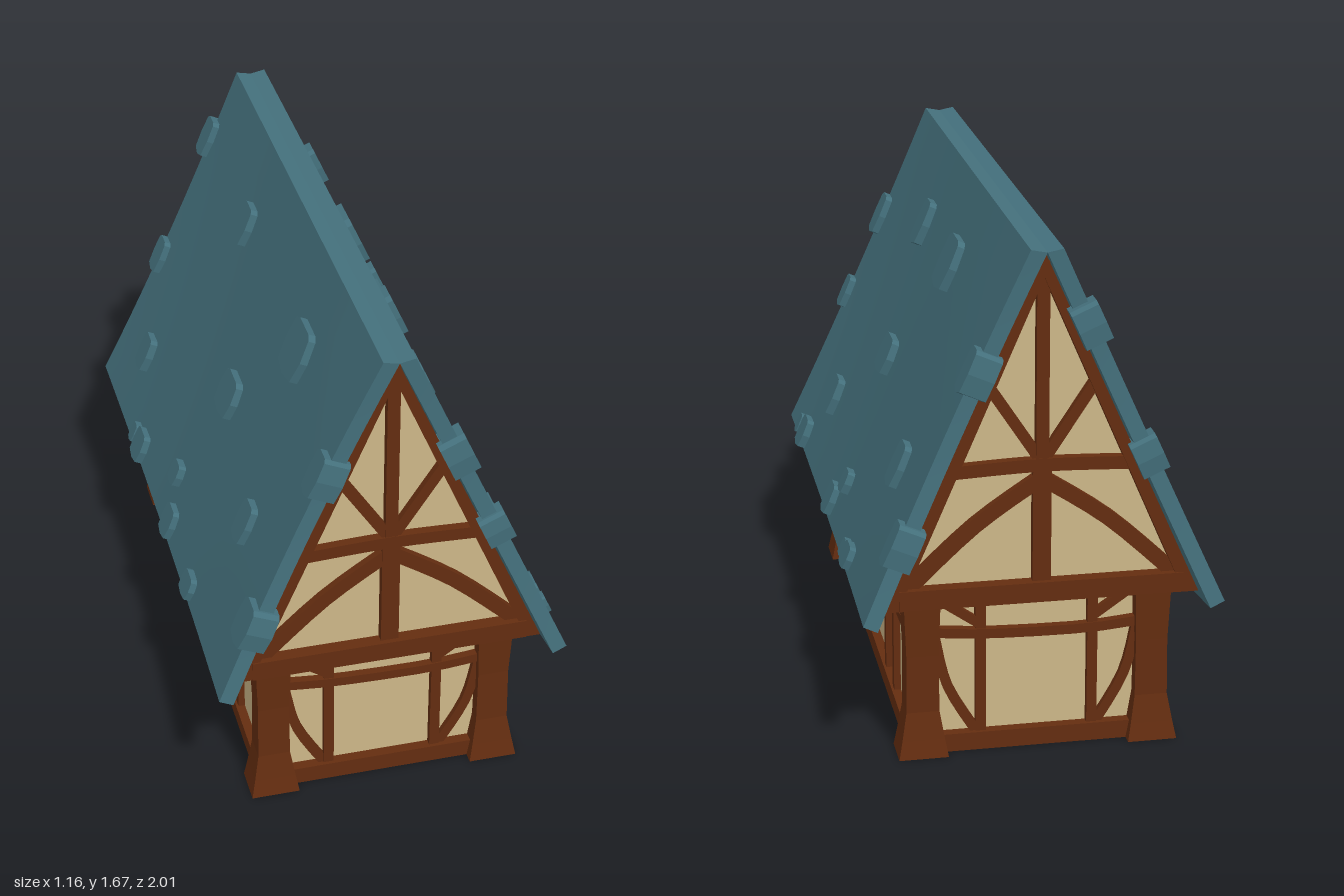
import * as THREE from 'three';

const material = (name, color) => Object.assign(new THREE.MeshStandardMaterial({ color }), { name });

export function createModel() {
  const roofMat = material('slate blue roof', 0x44707c);
  const woodMat = material('brown timber', 0x642d10);
  const wallMat = material('cream plaster', 0xcdb788);
  wallMat.side = THREE.DoubleSide;

  const model = new THREE.Group();
  model.name = 'timberFramedHouse';

  const add = (parent, name, geometry, mat) => {
    const mesh = new THREE.Mesh(geometry, mat);
    mesh.name = name;
    parent.add(mesh);
    return mesh;
  };
  const polygon = (pts) => new THREE.Shape(pts.map(([x, y]) => new THREE.Vector2(x, y)));
  const extrude = (pts, depth) =>
    new THREE.ExtrudeGeometry(polygon(pts), { depth, bevelEnabled: false });

  // A timber of constant width that follows a path, between two depths
  const timber = (parent, name, path, width, zBack, zFront) => {
    let pts = path.map(([x, y]) => new THREE.Vector2(x, y));
    if (pts.length > 2) pts = new THREE.SplineCurve(pts).getPoints(8);
    const left = [], right = [];
    pts.forEach((p, i) => {
      const a = pts[Math.max(i - 1, 0)], b = pts[Math.min(i + 1, pts.length - 1)];
      const d = b.clone().sub(a).normalize().multiplyScalar(width / 2);
      left.push([p.x - d.y, p.y + d.x]);
      right.unshift([p.x + d.y, p.y - d.x]);
    });
    const mesh = add(parent, name, extrude([...left, ...right], zFront - zBack), woodMat);
    mesh.position.z = zBack;
  };

  // Gable end: lower wall, overhanging gable and their timbers
  const makeGableEnd = (name) => {
    const g = new THREE.Group();
    g.name = name;
    const wall = add(g, 'endWall', new THREE.PlaneGeometry(0.77, 0.56), wallMat);
    wall.position.set(0, 0.28, 0.835);
    const gable = add(g, 'gableWall',
      new THREE.ShapeGeometry(polygon([[-0.46, 0.56], [0.46, 0.56], [0, 1.62]])), wallMat);
    gable.position.z = 0.9;

    timber(g, 'endSill', [[-0.32, 0.03], [0.32, 0.03]], 0.06, 0.81, 0.87);
    timber(g, 'endRail', [[-0.32, 0.41], [-0.15, 0.395], [0.15, 0.39], [0.34, 0.405]], 0.032, 0.82, 0.862);
    timber(g, 'gableBeam', [[-0.45, 0.56], [0.45, 0.56]], 0.065, 0.8, 0.945);
    timber(g, 'collarBeam', [[-0.29, 0.965], [0, 0.975], [0.29, 0.965]], 0.042, 0.88, 0.93);
    timber(g, 'lowerKingPost', [[0, 0.58], [0, 0.97]], 0.058, 0.88, 0.928);
    timber(g, 'upperKingPost', [[0, 0.97], [0, 1.62]], 0.04, 0.88, 0.928);
    for (const s of [-1, 1]) {
      timber(g, 'endStud', [[0.18 * s, 0.05], [0.18 * s, 0.54]], 0.033, 0.82, 0.858);
      timber(g, 'curvedBrace', [[0.325 * s, 0.39], [0.285 * s, 0.22], [0.19 * s, 0.05]], 0.032, 0.82, 0.854);
      timber(g, 'shortBrace', [[0.33 * s, 0.53], [0.18 * s, 0.425]], 0.03, 0.82, 0.854);
      timber(g, 'upperBrace', [[0, 0.98], [0.17 * s, 1.24]], 0.035, 0.88, 0.924);
      timber(g, 'lowerBrace', [[0, 0.93], [0.21 * s, 0.785], [0.42 * s, 0.59]], 0.048, 0.88, 0.924);
      const rafter = [[0, 1.655], [0, 1.575], [0.425 * s, 0.59], [0.435 * s, 0.525], [0.5 * s, 0.525]];
      add(g, 'rafter', extrude(rafter, 0.07), woodMat).position.z = 0.87;
    }
    return g;
  };

  // Long side: built facing +z, then turned to face sideways
  const makeLongSide = (name) => {
    const g = new THREE.Group();
    g.name = name;
    const wall = add(g, 'longWall', new THREE.PlaneGeometry(1.67, 0.74), wallMat);
    wall.position.set(0, 0.37, 0.385);
    timber(g, 'longSill', [[-0.82, 0.03], [0.82, 0.03]], 0.06, 0.36, 0.415);
    timber(g, 'longRail', [[-0.82, 0.395], [-0.5, 0.385], [0.5, 0.385], [0.82, 0.395]], 0.03, 0.37, 0.41);
    timber(g, 'wallPlate', [[-0.86, 0.56], [0.86, 0.56]], 0.065, 0.34, 0.42);
    for (const s of [-1, 1]) {
      for (const x of [0.315, 0.495])
        timber(g, 'longStud', [[x * s, 0.05], [x * s, 0.54]], 0.035, 0.37, 0.407);
      timber(g, 'longBrace', [[0.5 * s, 0.41], [0.35 * s, 0.53]], 0.028, 0.37, 0.403);
      timber(g, 'longBrace', [[0.79 * s, 0.53], [0.65 * s, 0.4]], 0.028, 0.37, 0.403);
    }
    return g;
  };

  for (const [end, side, turn] of [['frontEnd', 'leftSide', 0], ['backEnd', 'rightSide', Math.PI]]) {
    const e = makeGableEnd(end);
    e.rotation.y = turn;
    const l = makeLongSide(side);
    l.rotation.y = turn + Math.PI / 2;
    model.add(e, l);
  }

  // Corner posts flaring out at the foot
  const levels = [0, 0.06, 0.15, 0.34, 0.54];
  const flare = [0.03, 0.018, 0.002, 0, 0.008];
  for (const sx of [-1, 1]) for (const sz of [-1, 1]) {
    const geo = new THREE.BoxGeometry(1, 4, 1, 1, 4, 1).toNonIndexed();
    const p = geo.attributes.position;
    for (let i = 0; i < p.count; i++) {
      const k = Math.round(p.getY(i) + 2), f = flare[k];
      const outX = p.getX(i) * sx > 0, outZ = p.getZ(i) * sz > 0;
      p.setXYZ(i, sx * (outX ? 0.42 + f : 0.318 - f * 0.9), levels[k],
        sz * (outZ ? 0.878 + f : 0.79 - f * 0.3));
    }
    geo.computeVertexNormals();
    add(model, 'cornerPost', geo, woodMat);
  }

  // Roof slopes: outer surface point at t (0 ridge, 1 eave), sagging between the ends
  const { lerp } = THREE.MathUtils;
  const slope = (t, z) => {
    const sag = t * (1 - z * z);
    return [lerp(0.05, 0.57, t) - 0.02 * sag, lerp(1.672, 0.51, t) - 0.05 * sag];
  };
  const roofGeo = new THREE.BoxGeometry(1, 1, 2, 1, 10, 16);
  const rp = roofGeo.attributes.position;
  for (let i = 0; i < rp.count; i++) {
    const t = 0.5 - rp.getY(i), z = rp.getZ(i), inner = rp.getX(i) < 0 ? 1 : 0;
    const [x, y] = slope(t, z);
    rp.setXYZ(i, x - inner * lerp(0.05, 0.045, t), y - inner * lerp(0.01, 0.022, t),
      z * (0.98 - 0.1175 * t + 0.1375 * t * t));
  }
  roofGeo.computeVertexNormals();
  for (const [name, turn] of [['leftRoof', 0], ['rightRoof', Math.PI]])
    add(model, name, roofGeo, roofMat).rotation.y = turn;

  // Loose slates: [x, z, width, height], and wrapped ones clasping the edges
  const loose = [
    [0.16, 0.31, 0.11, 0.16], [0.16, -0.205, 0.175, 0.18], [0.33, 0.095, 0.15, 0.13],
    [0.395, -0.61, 0.11, 0.15], [0.46, 0.55, 0.11, 0.14], [0.5, -0.05, 0.08, 0.08],
    [-0.46, -0.7, 0.1, 0.13], [-0.16, -0.35, 0.11, 0.14], [-0.325, 0.085, 0.15, 0.14],
    [-0.17, 0.435, 0.175, 0.18], [-0.39, 0.61, 0.1, 0.14], [-0.49, -0.055, 0.08, 0.08],
  ];
  const wrapped = [
    [0.22, 0.93, 0.1, 0.15], [0.35, 0.94, 0.08, 0.12], [0.22, -0.94, 0.09, 0.15],
    [0.46, -0.955, 0.085, 0.15], [0.55, 0.73, 0.11, 0.11], [0.55, 0.805, 0.05, 0.07],
    [0.545, 0.075, 0.1, 0.11], [0.55, -0.445, 0.1, 0.08], [0.55, -0.37, 0.055, 0.06],
    [-0.23, 0.93, 0.09, 0.15], [-0.46, 0.94, 0.12, 0.15], [-0.35, -0.93, 0.09, 0.13],
    [-0.155, -0.96, 0.09, 0.14], [-0.55, -0.44, 0.11, 0.11], [-0.55, -0.52, 0.05, 0.07],
    [-0.545, 0.04, 0.1, 0.11], [-0.55, 0.4, 0.1, 0.08],
  ];
  const addSlate = ([x, z, w, h], below, above) => {
    const s = Math.sign(x);
    const [sx, sy] = slope((Math.abs(x) - 0.05) / 0.52, z);
    const a = w / 2, b = h / 2;
    const geo = extrude([[-a * 0.85, -b * 0.85], [0, -b], [a * 0.85, -b * 0.85], [a, 0],
      [a * 0.85, b * 0.85], [a * 0.6, b], [-a * 0.6, b], [-a * 0.9, b * 0.85], [-a, 0]], below + above);
    const mesh = add(model, 'roofSlate', geo, roofMat);
    const up = new THREE.Vector3(-0.408 * s, 0.913, 0);
    const out = new THREE.Vector3(0.913 * s, 0.408, 0);
    mesh.quaternion.setFromRotationMatrix(
      new THREE.Matrix4().makeBasis(new THREE.Vector3(0, 0, -s), up, out));
    mesh.position.set(sx * s, sy, z).addScaledVector(out, -below);
  };
  loose.forEach((t) => addSlate(t, 0.02, 0.027));
  wrapped.forEach((t) => addSlate(t, 0.065, 0.024));

  return model;
}
